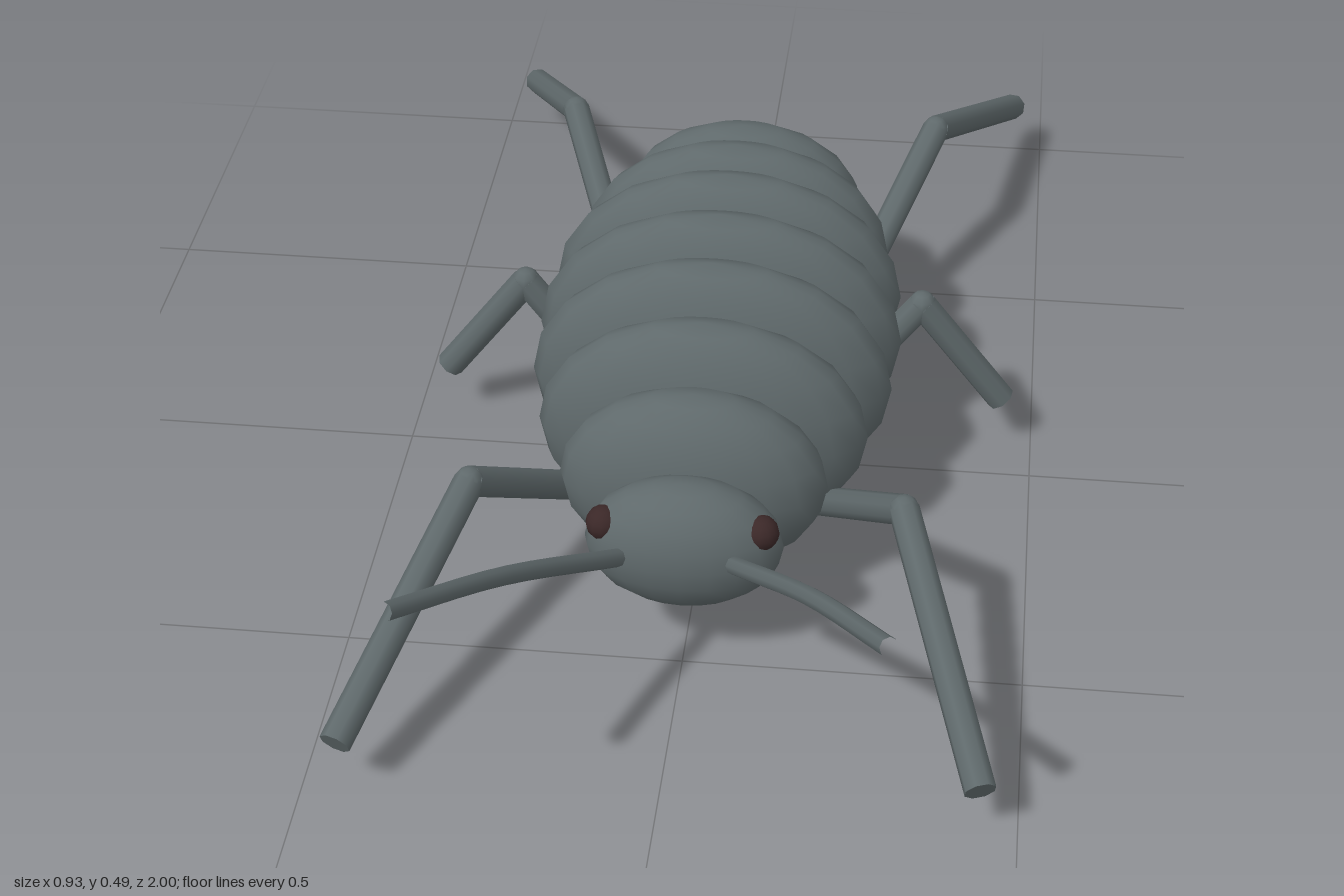
import * as THREE from 'three';

const shell = new THREE.MeshStandardMaterial({ color: 0x5f696b });
shell.name = 'slateShell';
const eyeBrown = new THREE.MeshStandardMaterial({ color: 0x3b2828 });
eyeBrown.name = 'darkBrownEye';

function ellipsoid(name, mat, pos, radii, w = 20, h = 10) {
  const mesh = new THREE.Mesh(new THREE.SphereGeometry(1, w, h), mat);
  mesh.name = name;
  mesh.position.set(...pos);
  mesh.scale.set(...radii);
  return mesh;
}

// Straight limb piece between two points
function rod(name, a, b, r) {
  const dir = b.clone().sub(a);
  const mesh = new THREE.Mesh(new THREE.CylinderGeometry(r, r, dir.length(), 8), shell);
  mesh.name = name;
  mesh.position.copy(a).add(b).multiplyScalar(0.5);
  mesh.quaternion.setFromUnitVectors(new THREE.Vector3(0, 1, 0), dir.normalize());
  return mesh;
}

function leg(name, side, hip, knee, foot) {
  const [h, k, f] = [hip, knee, foot].map(([x, y, z]) => new THREE.Vector3(side * x, y, z));
  const group = new THREE.Group();
  group.name = name;
  const joint = ellipsoid('knee', shell, k.toArray(), [0.023, 0.023, 0.023], 8, 6);
  group.add(rod('upperLeg', h, k, 0.023), joint, rod('lowerLeg', k, f, 0.023));
  return group;
}

export function createModel() {
  const model = new THREE.Group();
  model.name = 'beetle';

  // Seven overlapping body rings, widest in the middle
  [0.153, 0.192, 0.214, 0.22, 0.214, 0.192, 0.153].forEach((r, i) => {
    model.add(ellipsoid('bodySegment' + (i + 1), shell,
      [0, 0.222, 0.342 - i * 0.126], [r * 1.3, r, 0.091]));
  });

  model.add(ellipsoid('head', shell, [0, 0.203, 0.465], [0.145, 0.103, 0.08]));

  for (const [label, s] of [['left', 1], ['right', -1]]) {
    model.add(ellipsoid(label + 'Eye', eyeBrown, [s * 0.114, 0.243, 0.485], [0.026, 0.026, 0.026], 12, 8));

    // Gently arched antenna
    const path = new THREE.CatmullRomCurve3([
      new THREE.Vector3(s * 0.083, 0.245, 0.565),
      new THREE.Vector3(s * 0.206, 0.375, 0.775),
      new THREE.Vector3(s * 0.318, 0.483, 0.988),
    ]);
    const antenna = new THREE.Mesh(new THREE.TubeGeometry(path, 10, 0.0135, 8), shell);
    antenna.name = label + 'Antenna';
    model.add(antenna);

    // Front, middle and back legs
    model.add(
      leg(label + 'FrontLeg', s, [0.18, 0.09, 0.21], [0.315, 0.27, 0.445], [0.445, 0.095, 0.825]),
      leg(label + 'MiddleLeg', s, [0.18, 0.09, -0.07], [0.315, 0.27, -0.075], [0.448, 0.09, -0.085]),
      leg(label + 'BackLeg', s, [0.18, 0.09, -0.3], [0.312, 0.27, -0.61], [0.445, 0.098, -0.99]));
  }
  return model;
}
